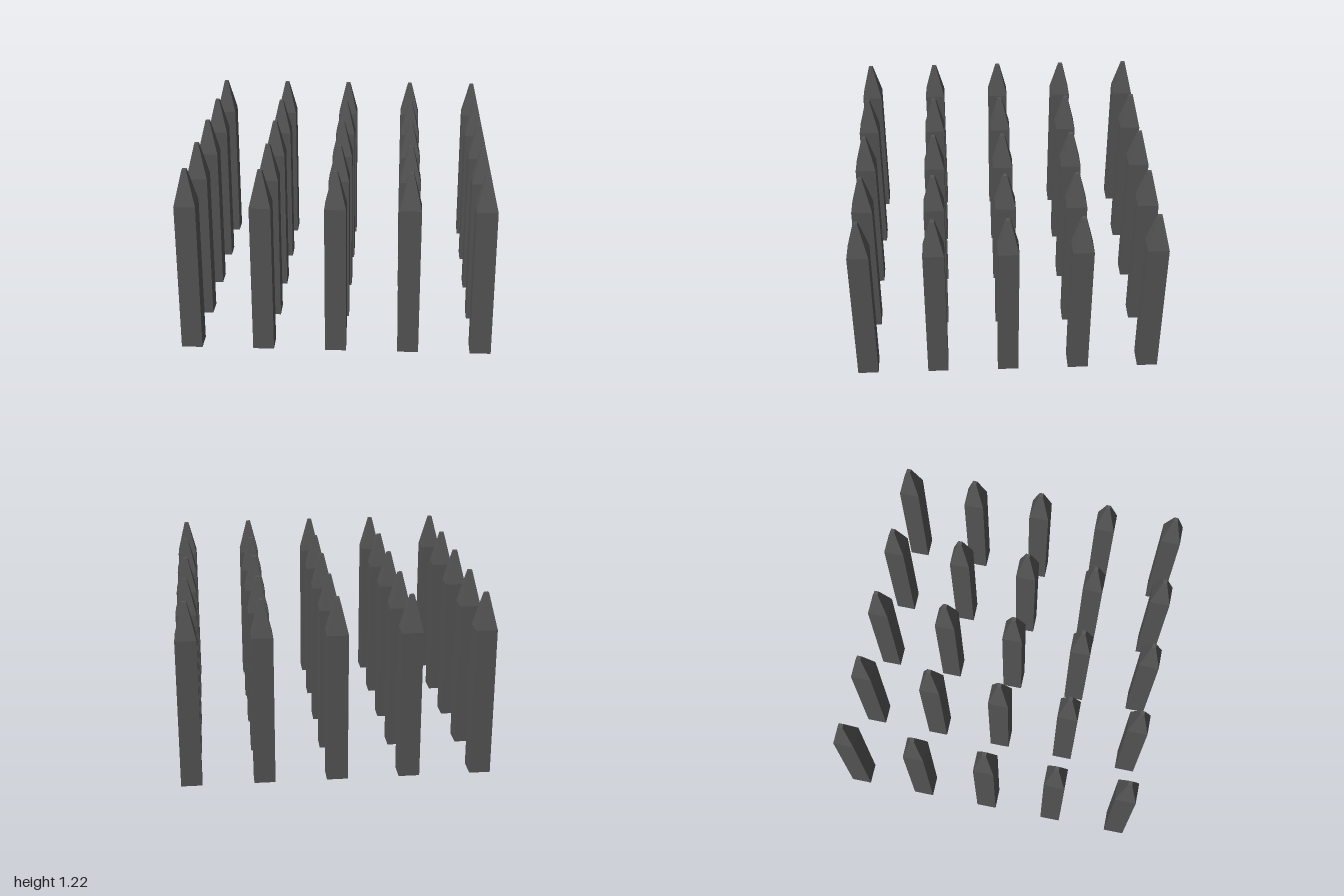
import * as THREE from 'three';

const COUNT = 5;
const WIDTH = 0.135;      // side of the square post
const TIP = 0.027;        // side of the blunt tip
const SHOULDER = 0.985;   // height where the taper starts
const HEIGHT = 1.215;
const SPACING = (2 - WIDTH) / (COUNT - 1);

// Four-sided post with a tapered, blunt point
function spikeGeometry() {
  const corner = (side) => side / Math.SQRT2;
  const profile = [
    [0, 0],
    [corner(WIDTH), 0],
    [corner(WIDTH), SHOULDER],
    [corner(TIP), HEIGHT],
    [0, HEIGHT],
  ].map(([r, y]) => new THREE.Vector2(r, y));
  return new THREE.LatheGeometry(profile, 4).rotateY(Math.PI / 4);
}

export function createModel() {
  const model = new THREE.Group();
  model.name = 'spikeField';

  const geometry = spikeGeometry();
  const material = new THREE.MeshStandardMaterial({ color: 0x555555, flatShading: true });

  // Square grid of spikes, grouped by row from back to front
  const middle = (COUNT - 1) / 2;
  for (let row = 0; row < COUNT; row++) {
    const rowGroup = new THREE.Group();
    rowGroup.name = `spikeRow${row + 1}`;
    rowGroup.position.z = (row - middle) * SPACING;
    for (let column = 0; column < COUNT; column++) {
      const spike = new THREE.Mesh(geometry, material);
      spike.name = `spike${row + 1}_${column + 1}`;
      spike.position.x = (column - middle) * SPACING;
      rowGroup.add(spike);
    }
    model.add(rowGroup);
  }
  return model;
}
